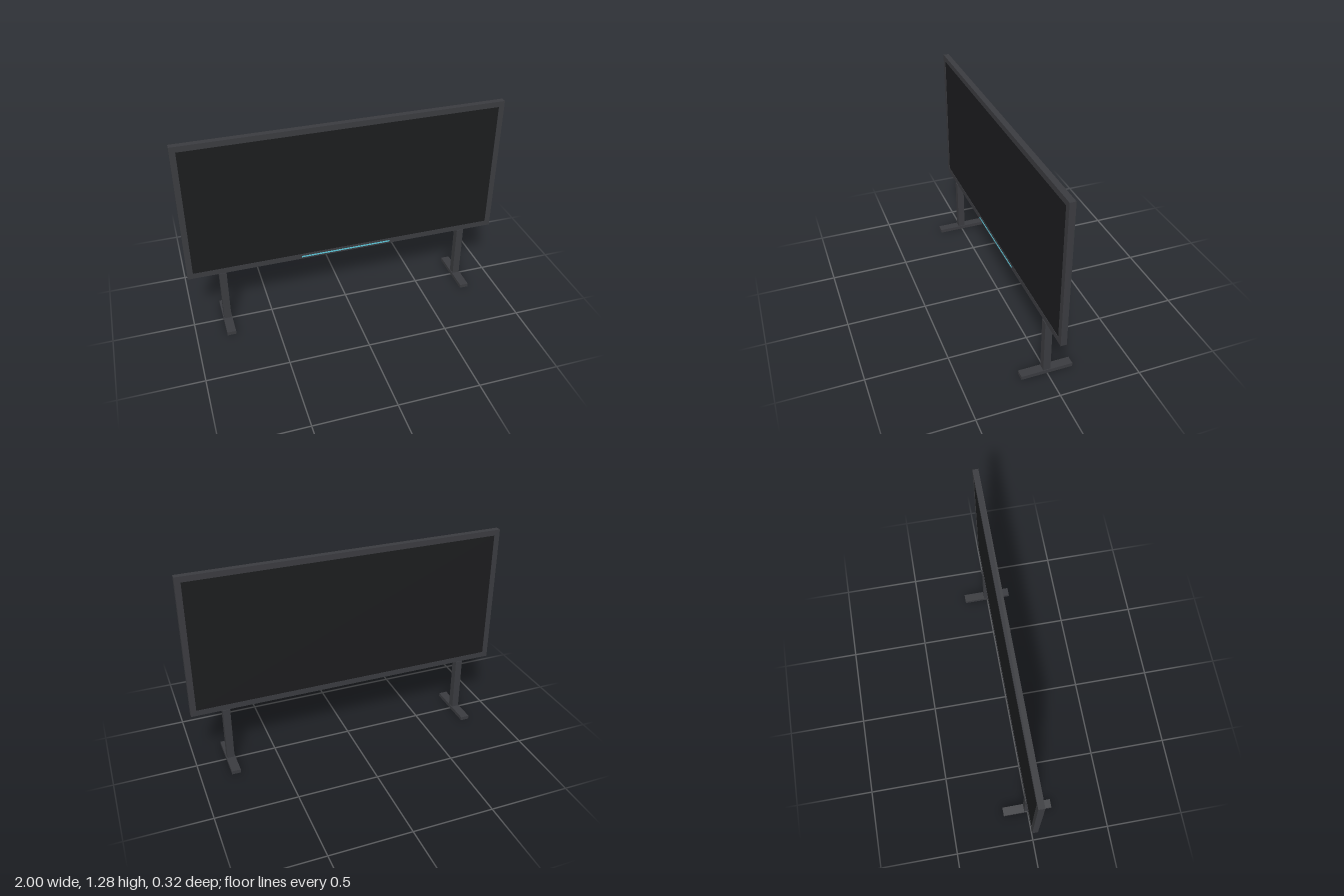
import * as THREE from 'three';

export function createModel() {
  const model = new THREE.Group();
  const metal = new THREE.MeshStandardMaterial({ color: 0x3a3b3f });
  const dark = new THREE.MeshStandardMaterial({ color: 0x1b1c1e });
  const glow = new THREE.MeshStandardMaterial({ color: 0x5cc4d6 });

  const box = (name, parent, material, size, position) => {
    const mesh = new THREE.Mesh(new THREE.BoxGeometry(...size), material);
    mesh.name = name;
    mesh.position.set(...position);
    parent.add(mesh);
    return mesh;
  };

  const bottom = 0.378, top = 1.278, border = 0.035, depth = 0.036;
  const height = top - bottom, midY = (top + bottom) / 2;

  // Rectangular bezel with an opening for the panel
  const rectangle = (PathType, w, h) => new PathType([
    new THREE.Vector2(-w / 2, -h / 2), new THREE.Vector2(w / 2, -h / 2),
    new THREE.Vector2(w / 2, h / 2), new THREE.Vector2(-w / 2, h / 2),
  ]);
  const outline = rectangle(THREE.Shape, 2, height);
  outline.holes.push(rectangle(THREE.Path, 2 - 2 * border, height - 2 * border));
  const frameGeometry = new THREE.ExtrudeGeometry(outline, { depth, bevelEnabled: false });
  frameGeometry.translate(0, midY, -depth / 2);
  const frame = new THREE.Mesh(frameGeometry, metal);
  frame.name = 'frame';
  model.add(frame);

  // Dark panel, visible on both sides
  box('panel', model, dark, [2 - 2 * border, height - 2 * border, depth - 0.004], [0, midY, 0]);

  // Thin light strip on the front of the lower bezel
  box('lightStrip', model, glow, [0.58, 0.009, 0.003], [0, 0.394, depth / 2 + 0.0005]);

  // Two stands: upright post on a long foot
  for (const side of [-1, 1]) {
    const stand = new THREE.Group();
    stand.name = side > 0 ? 'leftStand' : 'rightStand';
    stand.position.x = side * 0.788;
    box('post', stand, metal, [0.045, bottom - 0.02, 0.045], [0, (bottom + 0.02) / 2, 0]);
    box('foot', stand, metal, [0.055, 0.023, 0.32], [0, 0.0115, 0]);
    model.add(stand);
  }
  return model;
}
